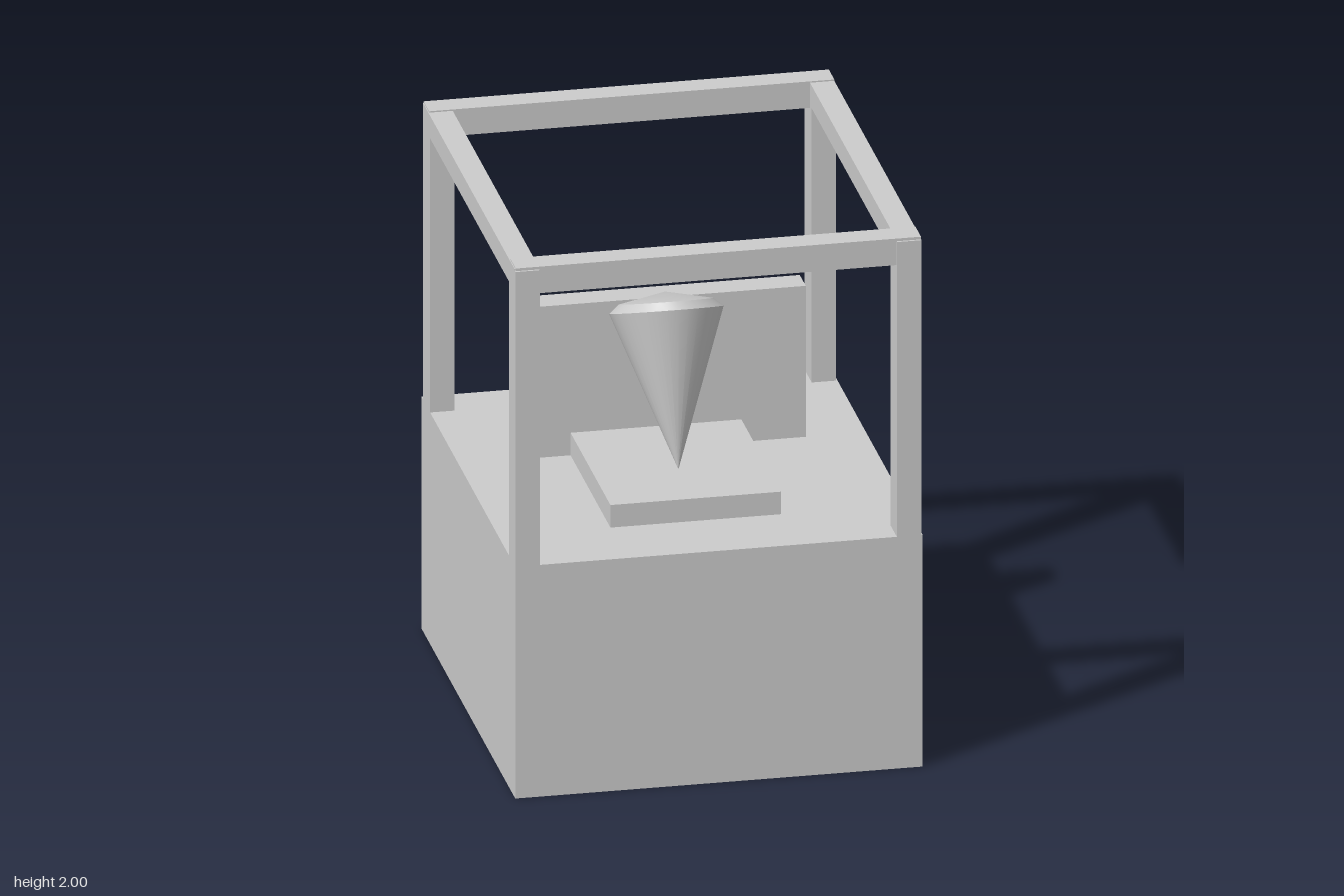
import * as THREE from 'three';
import { toCreasedNormals } from 'three/addons/utils/BufferGeometryUtils.js';

const material = new THREE.MeshStandardMaterial({ color: 0xcccccc });

// Box given by its minimum and maximum on each axis
function box(name, [x0, x1], [y0, y1], [z0, z1]) {
  const mesh = new THREE.Mesh(new THREE.BoxGeometry(x1 - x0, y1 - y0, z1 - z0), material);
  mesh.position.set((x0 + x1) / 2, (y0 + y1) / 2, (z0 + z1) / 2);
  mesh.name = name;
  return mesh;
}

// Tilted cone standing on its tip, closed by a shallow faceted cap
function tiltedCone() {
  const group = new THREE.Group();
  group.name = 'tiltedCone';
  const height = 0.56;
  const profiles = {
    coneSide: [[0, 0], [0.22, height]],
    coneCap: [[0.22, height], [0.205, height + 0.03], [0, height + 0.064]],
  };
  for (const [name, profile] of Object.entries(profiles)) {
    const lathe = new THREE.LatheGeometry(profile.map(([r, y]) => new THREE.Vector2(r, y)), 32);
    // The cross-section is slightly oval, and narrower above the rim
    const p = lathe.attributes.position;
    for (let i = 0; i < p.count; i++) {
      p.setX(i, p.getX(i) * (p.getY(i) > height + 0.01 ? 0.8 : 0.91));
    }
    const mesh = new THREE.Mesh(toCreasedNormals(lathe, 0.5), material);
    mesh.name = name;
    group.add(mesh);
  }
  group.rotation.x = -0.376;
  group.position.set(-0.03, 0.96, 0.237);
  return group;
}

export function createModel() {
  const model = new THREE.Group();
  model.name = 'framedSeat';
  const deck = 0.875;

  // Base block, seat and backrest
  model.add(
    box('base', [-0.73, 0.725], [0, deck], [-0.81, 0.8]),
    box('seat', [-0.33, 0.28], [deck, 0.96], [-0.175, 0.512]),
    box('backrest', [-0.475, 0.51], [deck, 1.445], [-0.275, -0.172]),
    tiltedCone(),
  );

  // Corner posts and the side rails joining them
  const sides = { right: [-0.73, -0.643], left: [0.633, 0.72] };
  for (const [side, x] of Object.entries(sides)) {
    model.add(
      box(`${side}FrontPost`, x, [deck, 1.99], [0.692, 0.805]),
      box(`${side}BackPost`, x, [deck, 1.99], [-0.78, -0.66]),
      box(`${side}TopRail`, x, [1.91, 1.995], [-0.78, 0.79]),
    );
  }

  // Cross rails
  model.add(
    box('frontTopRail', [-0.727, 0.72], [1.9, 2], [0.7, 0.797]),
    box('backTopRail', [-0.727, 0.72], [1.9, 2], [-0.785, -0.69]),
  );
  return model;
}
